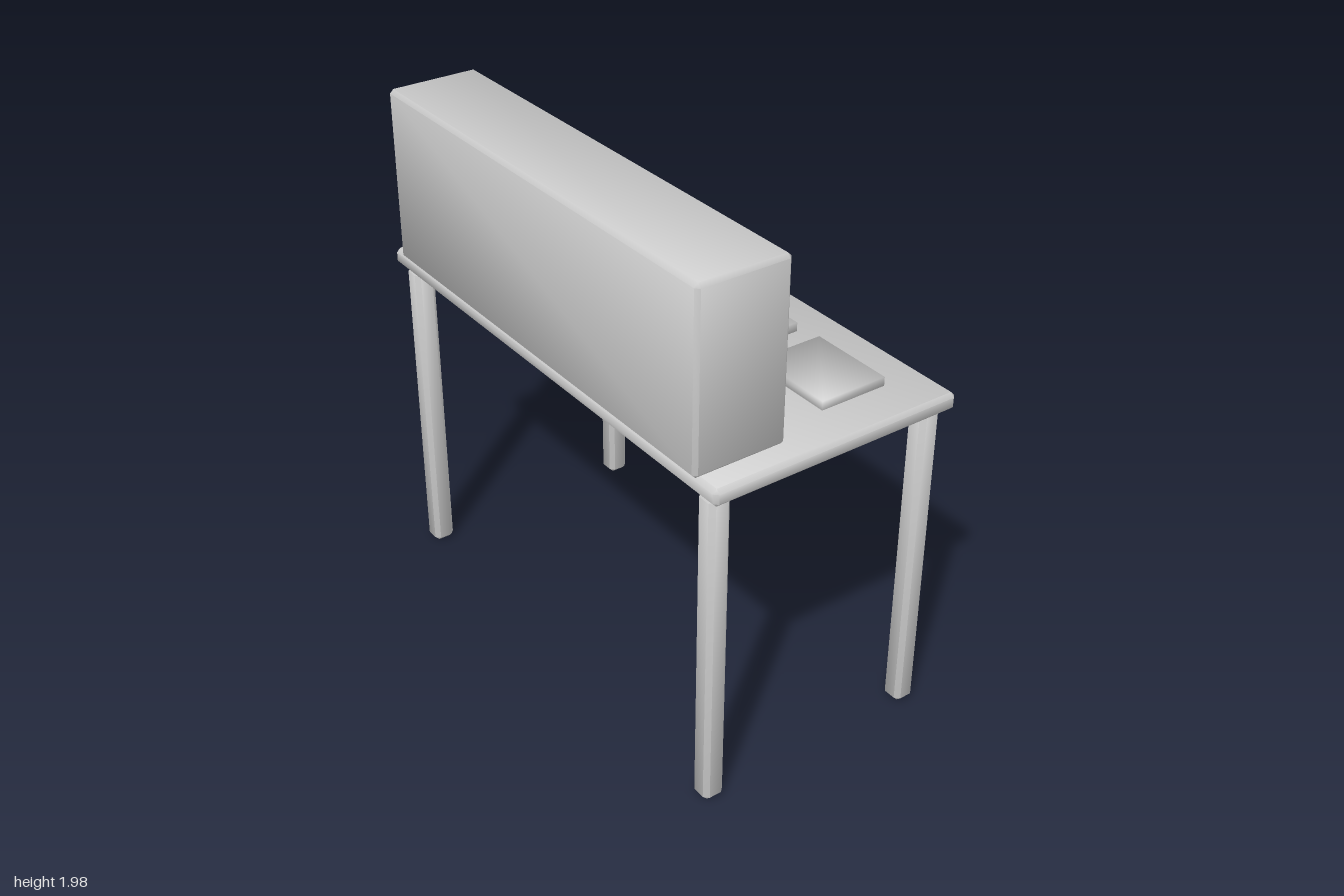
import * as THREE from 'three';
import { toCreasedNormals } from 'three/addons/utils/BufferGeometryUtils.js';
import { ConvexGeometry } from 'three/addons/geometries/ConvexGeometry.js';

const material = new THREE.MeshStandardMaterial({ color: 0xcccccc });

// Box with every edge cut by a flat chamfer c, centred on the origin
function chamferBox(w, h, d, c) {
  const points = [];
  for (const sx of [-1, 1]) for (const sy of [-1, 1]) for (const sz of [-1, 1]) {
    const x = w / 2, y = h / 2, z = d / 2;
    points.push(
      new THREE.Vector3(sx * x, sy * (y - c), sz * (z - c)),
      new THREE.Vector3(sx * (x - c), sy * y, sz * (z - c)),
      new THREE.Vector3(sx * (x - c), sy * (y - c), sz * z));
  }
  return toCreasedNormals(new ConvexGeometry(points), 1);
}

function add(group, name, geometry, x, y, z) {
  const mesh = new THREE.Mesh(geometry, material);
  mesh.name = name;
  mesh.position.set(x, y, z);
  group.add(mesh);
}

export function createModel() {
  const group = new THREE.Group();
  group.name = 'desk';

  // Slab and the long cabinet along its right edge
  add(group, 'tableTop', chamferBox(0.99, 0.065, 2, 0.015), 0.007, 1.2775, 0);
  add(group, 'cabinet', chamferBox(0.355, 0.665, 1.83, 0.014), -0.327, 1.6425, 0);

  // Four chamfered legs
  const leg = chamferBox(0.082, 1.245, 0.082, 0.017);
  for (const [side, x] of [['Right', -0.428], ['Left', 0.44]])
    for (const [end, z] of [['front', 0.917], ['back', -0.917]])
      add(group, `${end}${side}Leg`, leg, x, 0.6225, z);

  // Row of flat pads with softly shaded edges
  const pad = toCreasedNormals(new THREE.BoxGeometry(0.265, 0.035, 0.332), Math.PI);
  [-0.671, -0.22, 0.214, 0.663].forEach((z, i) =>
    add(group, `pad${i + 1}`, pad, 0.203, 1.3265, z));

  // Small tapered cup at the back corner of the last pad
  const profile = [[0, 0], [0.047, 0], [0.047, 0.045], [0.041, 0.09], [0, 0.09]]
    .map(([r, y]) => new THREE.Vector2(r, y));
  const cup = toCreasedNormals(new THREE.LatheGeometry(profile, 32), 0.7);
  add(group, 'cup', cup, 0.255, 1.309, -0.838);

  return group;
}
